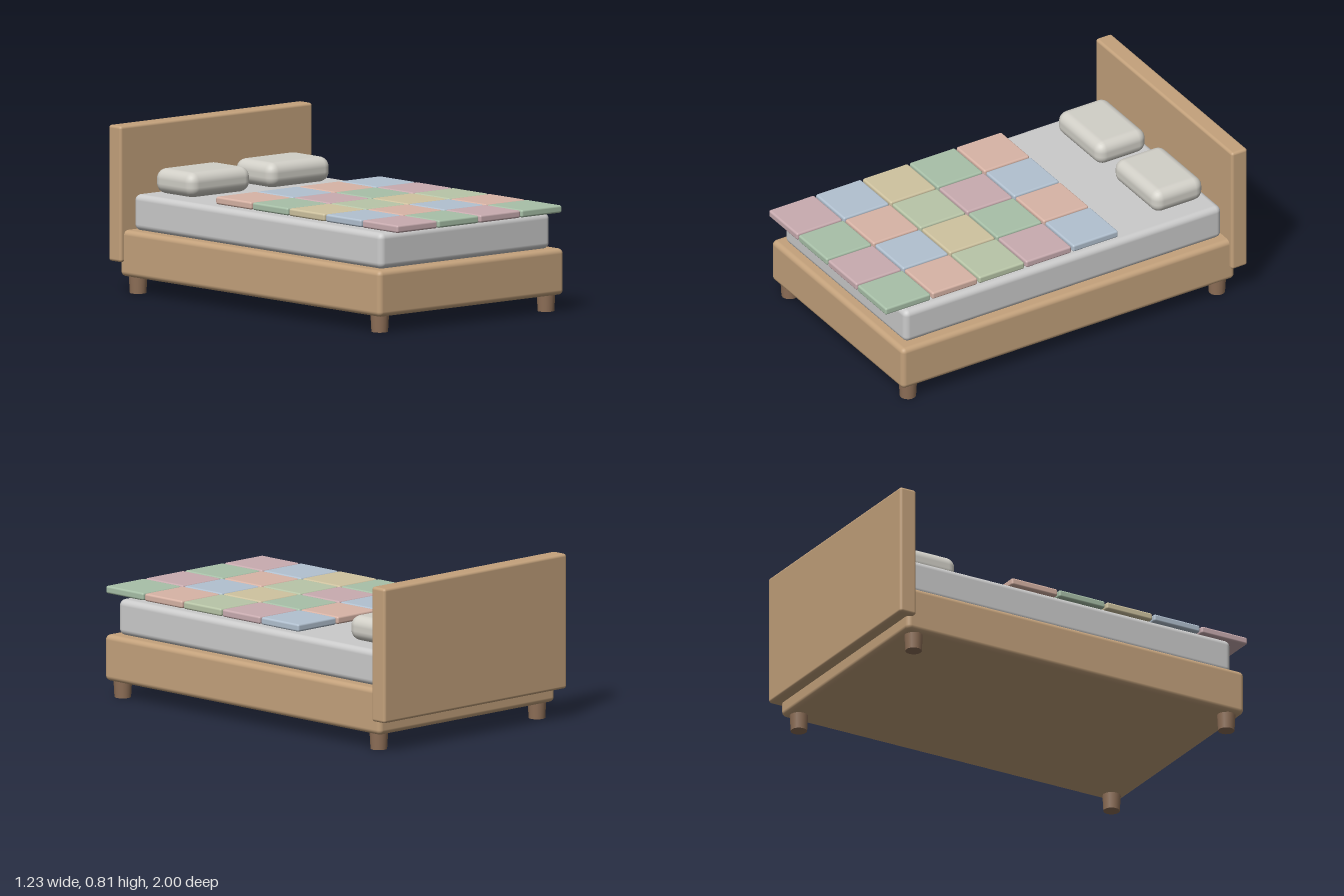
import * as THREE from 'three';
import { RoundedBoxGeometry } from 'three/addons/geometries/RoundedBoxGeometry.js';

const mat = (color) => new THREE.MeshStandardMaterial({ color });

export function createModel() {
  const bed = new THREE.Group();
  bed.name = 'bed';
  const wood = mat(0xc4a27c);
  const darkWood = mat(0x8f7058);
  const linen = mat(0xcccccc);
  const pillowCloth = mat(0xd2d0c8);

  // Rounded box given by its size, centre x, bottom y and centre z
  function block(name, [w, h, d], [x, y, z], radius, material, parent = bed) {
    const mesh = new THREE.Mesh(new RoundedBoxGeometry(w, h, d, 3, radius), material);
    mesh.position.set(x, y + h / 2, z);
    mesh.name = name;
    parent.add(mesh);
  }

  block('frame', [1.185, 0.225, 1.89], [0, 0.08, 0], 0.025, wood);
  block('headboard', [1.23, 0.66, 0.09], [0, 0.15, -0.955], 0.014, wood);
  block('mattress', [1.09, 0.175, 1.8], [0, 0.303, 0], 0.03, linen);

  // Pillows and tapered legs, mirrored
  const legGeometry = new THREE.CylinderGeometry(0.045, 0.04, 0.085, 16);
  for (const side of [-1, 1]) {
    block('pillow', [0.395, 0.122, 0.282], [side * 0.255, 0.478, -0.72], 0.05, pillowCloth);
    for (const end of [-1, 1]) {
      const leg = new THREE.Mesh(legGeometry, darkWood);
      leg.name = 'leg';
      leg.position.set(side * 0.532, 0.0425, end * 0.877);
      bed.add(leg);
    }
  }

  // Patchwork quilt: each row alternates two colours
  const rust = mat(0xd8b4a6), blue = mat(0xb2c1d0), green = mat(0xa8c0a8);
  const pink = mat(0xc9acb0), yellow = mat(0xcfc3a0), sage = mat(0xb9c6a8);
  const rows = [[rust, blue], [green, pink], [yellow, sage], [blue, rust], [pink, green]];
  const quilt = new THREE.Group();
  quilt.name = 'quilt';
  const pitch = 0.266;
  rows.forEach((pair, r) => {
    for (let c = 0; c < 4; c++) {
      block('quiltPatch', [0.257, 0.037, 0.257],
        [(c - 1.5) * pitch, 0.489, 0.8715 - (4 - r) * pitch], 0.01, pair[c % 2], quilt);
    }
  });
  bed.add(quilt);

  return bed;
}
